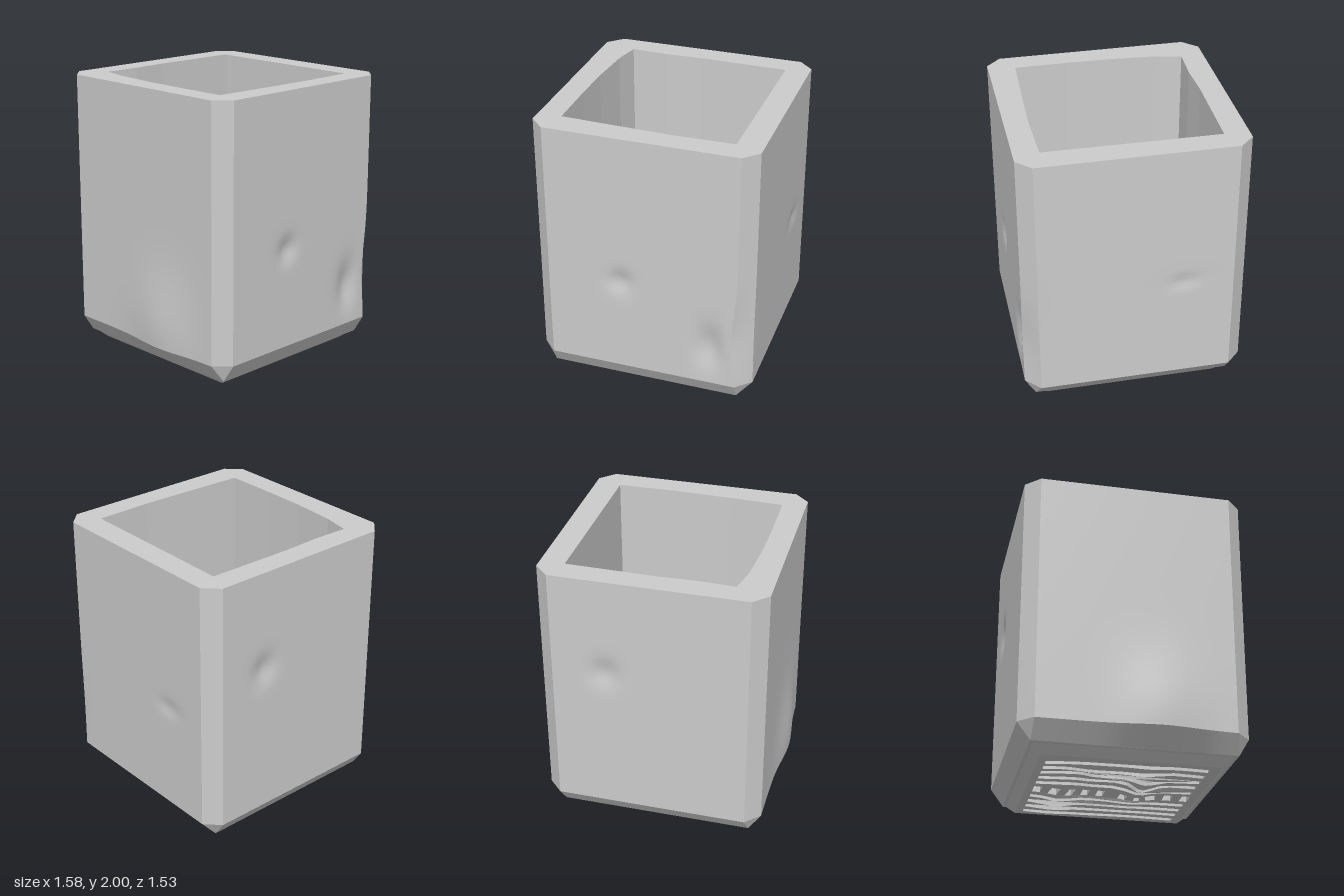
import * as THREE from 'three';
import { mergeGeometries } from 'three/addons/utils/BufferGeometryUtils.js';

const grey = new THREE.MeshStandardMaterial({ color: 0xcccccc });

// Soft dents and bulges: centre, radius, push
const bumps = [
  { c: [-0.75, 0.35, 0.17], r: [0.2, 0.36, 0.27], d: [-0.045, 0, 0] },
  { c: [-0.13, 0.92, 0.77], r: [0.08, 0.08, 0.2], d: [0, 0, -0.03] },
  { c: [0.5, 0.52, 0.77], r: [0.09, 0.16, 0.2], d: [0, 0, -0.04] },
  { c: [0.79, 0.99, -0.33], r: [0.2, 0.05, 0.1], d: [-0.015, 0, 0] },
  { c: [0.33, 1.3, -0.77], r: [0.09, 0.1, 0.2], d: [0, 0, 0.03] },
  { c: [0.69, 0.6, 0.77], r: [0.09, 0.28, 0.1], d: [-0.035, 0, 0] },
];

function dent(p) {
  const out = p.clone();
  const fade = THREE.MathUtils.smoothstep(p.y, 0.1, 0.23);
  for (const { c, r, d } of bumps) {
    const q = ((p.x - c[0]) / r[0]) ** 2 + ((p.y - c[1]) / r[1]) ** 2 + ((p.z - c[2]) / r[2]) ** 2;
    out.addScaledVector(new THREE.Vector3(...d), fade * Math.exp(-q));
  }
  return out;
}

// Smooth grid between four corners, counter-clockwise from bottom left
function patch(a, b, c, d, nu, nv) {
  const pos = [], idx = [];
  for (let j = 0; j <= nv; j++) {
    const left = a.clone().lerp(d, j / nv), right = b.clone().lerp(c, j / nv);
    for (let i = 0; i <= nu; i++) {
      pos.push(...dent(left.clone().lerp(right, i / nu)).toArray());
      if (i < nu && j < nv) {
        const k = j * (nu + 1) + i, m = k + nu + 1;
        idx.push(k, k + 1, m + 1, k, m + 1, m);
      }
    }
  }
  const g = new THREE.BufferGeometry();
  g.setAttribute('position', new THREE.Float32BufferAttribute(pos, 3));
  g.setIndex(idx);
  g.computeVertexNormals();
  return g;
}

const at = ([x, z], y) => new THREE.Vector3(x, y, z);
const flat = (pts) => pts.map(([x, z]) => new THREE.Vector2(x, -z));

// Plan outlines as [x, z]
const outer = [[-0.645, 0.765], [0.69, 0.765], [0.79, 0.665], [0.79, -0.67],
  [0.69, -0.77], [-0.645, -0.77], [-0.745, -0.67], [-0.745, 0.665]];
const skirt = [[-0.66, 0.69], [0.68, 0.69], [0.68, -0.68], [-0.66, -0.68]];
const lip = [[-0.645, 0.665], [0.665, 0.665], [0.665, -0.66], [-0.645, -0.66]];
const base = [[-0.585, 0.6], [0.62, 0.6], [0.62, -0.6], [-0.585, -0.6]];
const inner = [[-0.515, -0.61], [-0.555, -0.42], [-0.578, -0.1], [-0.583, 0.2], [-0.58, 0.575],
  [-0.2, 0.59], [0.2, 0.603], [0.61, 0.595], [0.62, -0.6], [0.3, -0.605], [0, -0.61], [-0.26, -0.6]];

// Grille slots: centre x at given z
const wavySlots = [
  [[-0.445, -0.55], [-0.475, -0.35], [-0.49, 0], [-0.508, 0.2], [-0.495, 0.53]],
  [[-0.35, -0.55], [-0.368, -0.4], [-0.345, -0.22], [-0.36, 0], [-0.4, 0.2], [-0.38, 0.53]],
  [[-0.255, -0.55], [-0.295, -0.3], [-0.26, -0.18], [-0.28, 0.05], [-0.26, 0.2], [-0.272, 0.53]],
  [[-0.157, -0.55], [-0.185, -0.3], [-0.17, -0.2], [-0.195, 0.05], [-0.135, 0.15], [-0.165, 0.3], [-0.165, 0.53]],
  [[-0.055, -0.55], [-0.085, -0.3], [-0.068, -0.15], [-0.085, 0.1], [-0.045, 0.3], [-0.05, 0.53]],
  ...[0.212, 0.32, 0.43, 0.54].map((x, i) => [[x, -0.55], [x, -0.1], [x - 0.004 * i, 0.2], [x, 0.54]]),
];
const crossSlots = [[-0.55, -0.495], [-0.435, -0.375], [-0.315, -0.27], [-0.215, -0.165], [-0.11, -0.06],
  [0.045, 0.095], [0.15, 0.19], [0.23, 0.3], [0.36, 0.42], [0.485, 0.54]];

function slotPath(pts, width) {
  const curve = new THREE.CatmullRomCurve3(pts.map((p) => at(p, 0)));
  const mid = curve.getPoints(16).map((p) => [p.x, p.z]);
  const side = (s) => mid.map(([x, z]) => [x + s * width / 2, z]);
  return new THREE.Path(flat([...side(-1), ...side(1).reverse()]));
}

function grilleGeometry() {
  const shape = new THREE.Shape(flat(base));
  for (const s of wavySlots) shape.holes.push(slotPath(s, 0.052));
  crossSlots.forEach(([z0, z1], i) => {
    const tilt = [0, 0.008, 0.01, 0, 0, 0, -0.008, -0.015, -0.005, 0][i];
    shape.holes.push(new THREE.Path(flat([[0.022, z0 + tilt], [0.13, z0 - tilt], [0.13, z1 - tilt], [0.022, z1 + tilt]])));
  });
  const g = new THREE.ExtrudeGeometry(shape, { depth: 0.055, bevelEnabled: false });
  g.rotateX(-Math.PI / 2);
  g.translate(0, 0.045, 0);
  // Bars sag in two shallow hollows
  const p = g.attributes.position;
  for (let i = 0; i < p.count; i++) {
    const x = p.getX(i), z = p.getZ(i);
    const sag = 0.043 * Math.exp(-(((x + 0.12) / 0.3) ** 2) - ((z - 0.15) / 0.11) ** 2)
      + 0.025 * Math.exp(-(((x - 0.28) / 0.25) ** 2) - ((z + 0.35) / 0.1) ** 2);
    p.setY(i, p.getY(i) - sag);
  }
  g.computeVertexNormals();
  return g;
}

export function createModel() {
  const group = new THREE.Group();
  const add = (name, geometry) => {
    const mesh = new THREE.Mesh(geometry, grey);
    mesh.name = name;
    group.add(mesh);
  };

  // Four broad walls alternating with chamfered corners
  const walls = outer.map((p, i) => {
    const q = outer[(i + 1) % 8];
    return patch(at(p, 0.23), at(q, 0.23), at(q, 2), at(p, 2), i % 2 ? 3 : 40, 50);
  });
  add('outerWalls', mergeGeometries(walls));

  // Bevel under the walls, with a triangle closing each corner
  const bevel = [], foot = [];
  for (let i = 0; i < 4; i++) {
    const n = (i + 1) % 4;
    const l = outer[2 * i], r = outer[2 * i + 1], next = outer[(2 * i + 2) % 8];
    bevel.push(patch(at(skirt[i], 0.105), at(skirt[n], 0.105), at(r, 0.23), at(l, 0.23), 40, 1));
    bevel.push(patch(at(skirt[n], 0.105), at(skirt[n], 0.105), at(next, 0.23), at(r, 0.23), 3, 1));
    // Small ledge and sloping foot
    foot.push(patch(at(lip[i], 0.1), at(lip[n], 0.1), at(skirt[n], 0.105), at(skirt[i], 0.105), 1, 1));
    foot.push(patch(at(base[i], 0.045), at(base[n], 0.045), at(lip[n], 0.1), at(lip[i], 0.1), 1, 1));
  }
  add('lowerBevel', mergeGeometries(bevel));
  add('foot', mergeGeometries(foot));

  // Flat rim around the irregular opening
  const rimShape = new THREE.Shape(flat(outer));
  rimShape.holes.push(new THREE.Path(flat(inner)));
  const rim = new THREE.ShapeGeometry(rimShape);
  rim.rotateX(-Math.PI / 2);
  rim.translate(0, 2, 0);
  add('rim', rim);

  // Inside walls, facing inward
  const lining = inner.map((p, i) => {
    const q = inner[(i + 1) % inner.length];
    return patch(at(q, 0.08), at(p, 0.08), at(p, 2), at(q, 2), 1, 1);
  });
  add('innerWalls', mergeGeometries(lining));

  add('floorGrille', grilleGeometry());
  return group;
}
